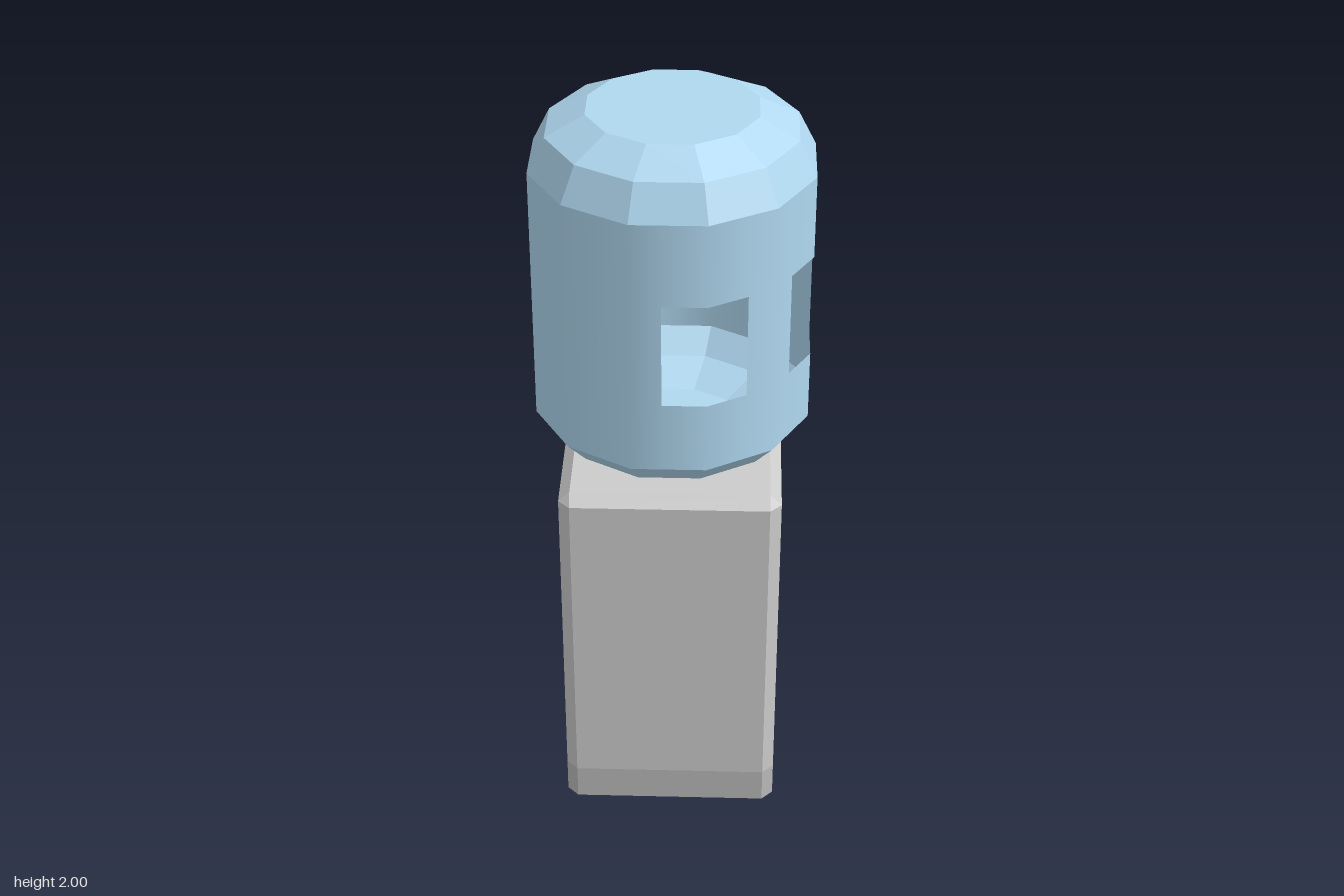
import * as THREE from 'three';

const GREY = 0xcccccc, PLINTH = 0xbababa, WATER_BLUE = 0xb0d8f0, DARK = 0x6a6a6a;
const RAD = Math.PI / 180;

function mesh(name, geometry, color, options = {}) {
  const m = new THREE.Mesh(geometry, new THREE.MeshStandardMaterial({ color, ...options }));
  m.name = name;
  return m;
}

// Flat faces from a list of quads, corners counter-clockwise from outside
function quadGeometry(quads) {
  const pos = [];
  for (const [a, b, c, d] of quads) pos.push(...a, ...b, ...c, ...a, ...c, ...d);
  const g = new THREE.BufferGeometry();
  g.setAttribute('position', new THREE.Float32BufferAttribute(pos, 3));
  g.computeVertexNormals();
  return g;
}

// Square outline of half-width h with corners cut back to c
function ring(h, c, y) {
  const pts = [];
  let pair = [[c, h], [h, c]];
  for (let k = 0; k < 4; k++) {
    for (const [x, z] of pair) pts.push([x, y, z]);
    pair = pair.map(([x, z]) => [z, -x]);
  }
  return pts;
}

function band(low, high, skip = -1) {
  const quads = [];
  for (let i = 0; i < 8; i++) {
    const j = (i + 1) % 8;
    if (i !== skip) quads.push([low[i], low[j], high[j], high[i]]);
  }
  return quads;
}

// Rectangle facing the back
const backRect = (w, y0, y1, z) => [[w, y0, z], [-w, y0, z], [-w, y1, z], [w, y1, z]];

function loft(a, b) {
  return a.map((p, i) => [p, a[(i + 1) % 4], b[(i + 1) % 4], b[i]]);
}

function createCabinet() {
  const g = new THREE.Group();
  g.name = 'cabinet';
  const H = 0.29, C = 0.26, BACK = 3; // BACK: outline side holding the niche
  const floor = ring(H, C, 0), base = ring(H, C, 0.1);
  const shoulder = ring(H, C, 1), top = ring(C, C, 1.03);

  const rim = backRect(0.09, 0.58, 0.84, -H);
  const inner = backRect(0.09, 0.58, 0.84, -0.15);

  g.add(mesh('cabinetBody', quadGeometry([
    ...band(base, shoulder, BACK),
    ...band(shoulder, top),
    [top[0], top[2], top[4], top[6]],
    ...loft(backRect(C, 0.1, 1, -H), rim),
  ]), GREY));
  g.add(mesh('niche', quadGeometry([...loft(rim, inner), inner]), GREY));

  const under = [0, 2, 4].map(i => [floor[0], floor[(i + 3) % 8], floor[i + 2], floor[i + 1]]);
  g.add(mesh('plinth', quadGeometry([...band(floor, base), ...under]), PLINTH));
  return g;
}

function createDispenser() {
  const g = new THREE.Group();
  g.name = 'dispenser';
  const tap = mesh('tap', new THREE.CylinderGeometry(0.027, 0.027, 0.07, 16), DARK);
  tap.position.set(0, 0.805, -0.22);
  const nozzle = mesh('nozzle', new THREE.CylinderGeometry(0.016, 0.016, 0.026, 12), DARK);
  nozzle.position.set(0, 0.758, -0.22);
  // Open tapered cup with a small rolled lip
  const profile = [[0, 0.004], [0.03, 0.004], [0.041, 0.135], [0.044, 0.135], [0.044, 0.141], [0.04, 0.141]]
    .map(p => new THREE.Vector2(...p));
  const cup = mesh('cup', new THREE.LatheGeometry(profile, 16), GREY, { side: THREE.DoubleSide });
  cup.position.set(0, 0.58, -0.22);
  g.add(tap, nozzle, cup);
  return g;
}

// Twelve-sided bottle wall with four window openings
function bottleWall(apothem) {
  const windows = [15, 75, 195, 255], half = 17.8;
  const angles = [];
  for (let k = 0; k < 12; k++) angles.push(15 + 30 * k);
  for (const w of windows) angles.push((w - half + 360) % 360, w + half);
  angles.sort((a, b) => a - b);
  const levels = [1.17, 1.36, 1.64, 1.86];
  const pos = [], nor = [], index = [];

  for (const a of angles) {
    const r = apothem / Math.cos((a - 30 * Math.round(a / 30)) * RAD);
    const s = Math.sin(a * RAD), c = Math.cos(a * RAD);
    for (const y of levels) {
      pos.push(r * s, y, r * c);
      nor.push(s, 0, c);
    }
  }
  angles.forEach((a, i) => {
    const n = (i + 1) % angles.length;
    const mid = (a + (n ? angles[n] : angles[0] + 360)) / 2;
    const open = windows.some(w => Math.abs(((mid - w + 540) % 360) - 180) < half);
    for (let k = 0; k < 3; k++) {
      if (k === 1 && open) continue;
      const p = i * 4 + k, q = n * 4 + k;
      index.push(p, q, q + 1, p, q + 1, p + 1);
    }
  });
  const g = new THREE.BufferGeometry();
  g.setAttribute('position', new THREE.Float32BufferAttribute(pos, 3));
  g.setAttribute('normal', new THREE.Float32BufferAttribute(nor, 3));
  g.setIndex(index);
  return g;
}

function createBottle() {
  const g = new THREE.Group();
  g.name = 'bottle';
  const faceted = { side: THREE.DoubleSide, flatShading: true };
  // Profiles give the distance to the flats
  const lathe = profile => new THREE.LatheGeometry(
    profile.map(([r, y]) => new THREE.Vector2(r / Math.cos(15 * RAD), y)), 12, 15 * RAD);

  g.add(mesh('bottleWall', bottleWall(0.354), WATER_BLUE, { side: THREE.DoubleSide }));
  g.add(mesh('bottleTop', lathe([[0.354, 1.86], [0.31, 1.95], [0.212, 2], [0, 2]]), WATER_BLUE, faceted));
  g.add(mesh('bottleShoulder', lathe([[0, 1.062], [0.195, 1.062], [0.298, 1.106], [0.354, 1.17]]), WATER_BLUE, faceted));
  g.add(mesh('bottleNeck', lathe([[0.182, 1.03], [0.182, 1.062]]), WATER_BLUE, { side: THREE.DoubleSide }));
  return g;
}

export function createModel() {
  const model = new THREE.Group();
  model.name = 'waterCooler';
  model.add(createCabinet(), createDispenser(), createBottle());
  return model;
}
